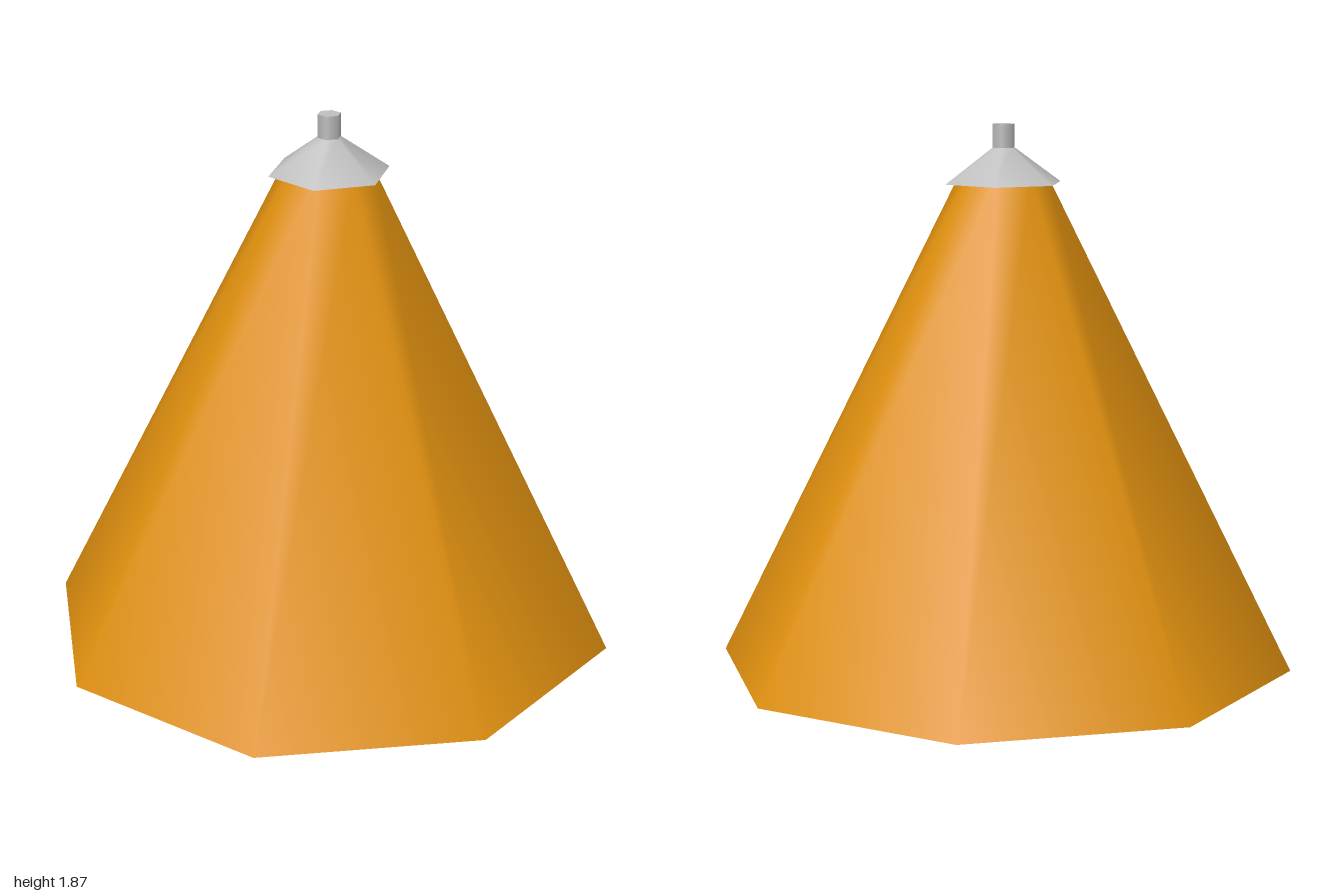
import * as THREE from 'three';

export function createModel() {
  const group = new THREE.Group();
  const canvas = new THREE.MeshStandardMaterial({ name: 'orange canvas', color: 0xe0900f, side: THREE.DoubleSide });
  const metal = new THREE.MeshStandardMaterial({ name: 'grey metal', color: 0xc0c0c0 });
  const lining = new THREE.MeshStandardMaterial({ name: 'dark maroon', color: 0x6b3535 });

  // Tapered ring of flat sides standing between two heights
  function frustum(name, material, rTop, rBottom, y0, y1, sides, open) {
    const geometry = new THREE.CylinderGeometry(rTop, rBottom, y1 - y0, sides, 1, open);
    const mesh = new THREE.Mesh(geometry, material);
    mesh.name = name;
    mesh.position.y = (y0 + y1) / 2;
    group.add(mesh);
  }

  // Eight-sided wall, open at the bottom
  frustum('coneWall', canvas, 0.155, 1, 0, 1.69, 8, true);

  // Six-sided cap and the short pole above it
  frustum('cap', metal, 0.04, 0.21, 1.67, 1.79, 6, true);
  frustum('pole', metal, 0.04, 0.04, 1.785, 1.87, 6, false);

  // Underside of the cap, facing down
  const underside = new THREE.Mesh(new THREE.CircleGeometry(0.21, 6, Math.PI / 2), lining);
  underside.name = 'capUnderside';
  underside.rotation.x = Math.PI / 2;
  underside.position.y = 1.67;
  group.add(underside);

  return group;
}
